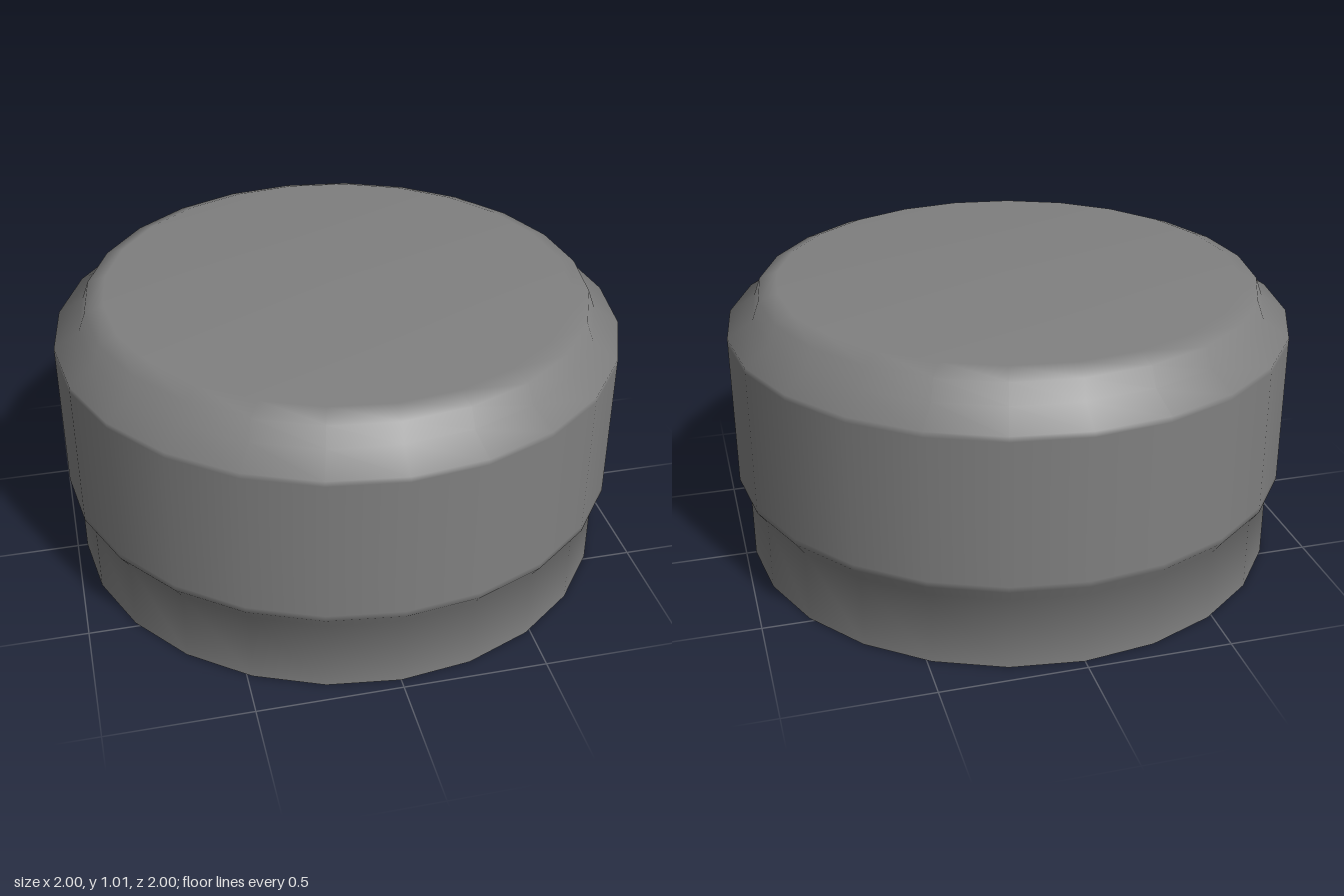
import * as THREE from 'three';

const SIDES = 24;
const WALL = 0.03;

// Outer profile, bottom to top: [radius, height, upward tilt of the smooth normal in degrees]
const OUTER = [
  [0.965, 0, 0], [0.965, 0.26, -24], [1, 0.31, -24], [1, 0.33, 0], [1, 0.84, 0], [1, 0.86, 30],
  [0.91, 0.917, 40], [0.885, 0.985, 45], [0.82, 1.01, 86], [0, 1.01, 90],
];

export function createModel() {
  const group = new THREE.Group();
  group.name = 'cap';
  const material = new THREE.MeshStandardMaterial({ color: 0x808080 });

  // Turns a profile and shades it by its tilts; facing is 1 outward, -1 inward
  const addLathe = (name, profile, facing) => {
    const points = profile.map(([r, y]) => new THREE.Vector2(r, y));
    const geometry = new THREE.LatheGeometry(points, SIDES);
    const normals = geometry.attributes.normal;
    for (let i = 0; i < normals.count; i++) {
      const tilt = THREE.MathUtils.degToRad(profile[i % profile.length][2]);
      const turn = (Math.floor(i / profile.length) / SIDES) * Math.PI * 2;
      const flat = facing * Math.cos(tilt);
      normals.setXYZ(i, flat * Math.sin(turn), facing * Math.sin(tilt), flat * Math.cos(turn));
    }
    const mesh = new THREE.Mesh(geometry, material);
    mesh.name = name;
    group.add(mesh);
  };

  // Stepped outer shell with bevelled shoulder and flat top
  addLathe('outerShell', OUTER, 1);

  // Hollow inside follows the shell at wall thickness, running top to bottom
  const inner = OUTER.map(([r, y, tilt]) => [
    Math.max(r - WALL, 0),
    y > 0.85 ? y - WALL : y,
    tilt,
  ]).reverse();
  addLathe('innerShell', inner, -1);

  // Flat ring closing the open bottom edge
  addLathe('bottomRim', [[OUTER[0][0] - WALL, 0, -90], [OUTER[0][0], 0, -90]], 1);

  return group;
}
